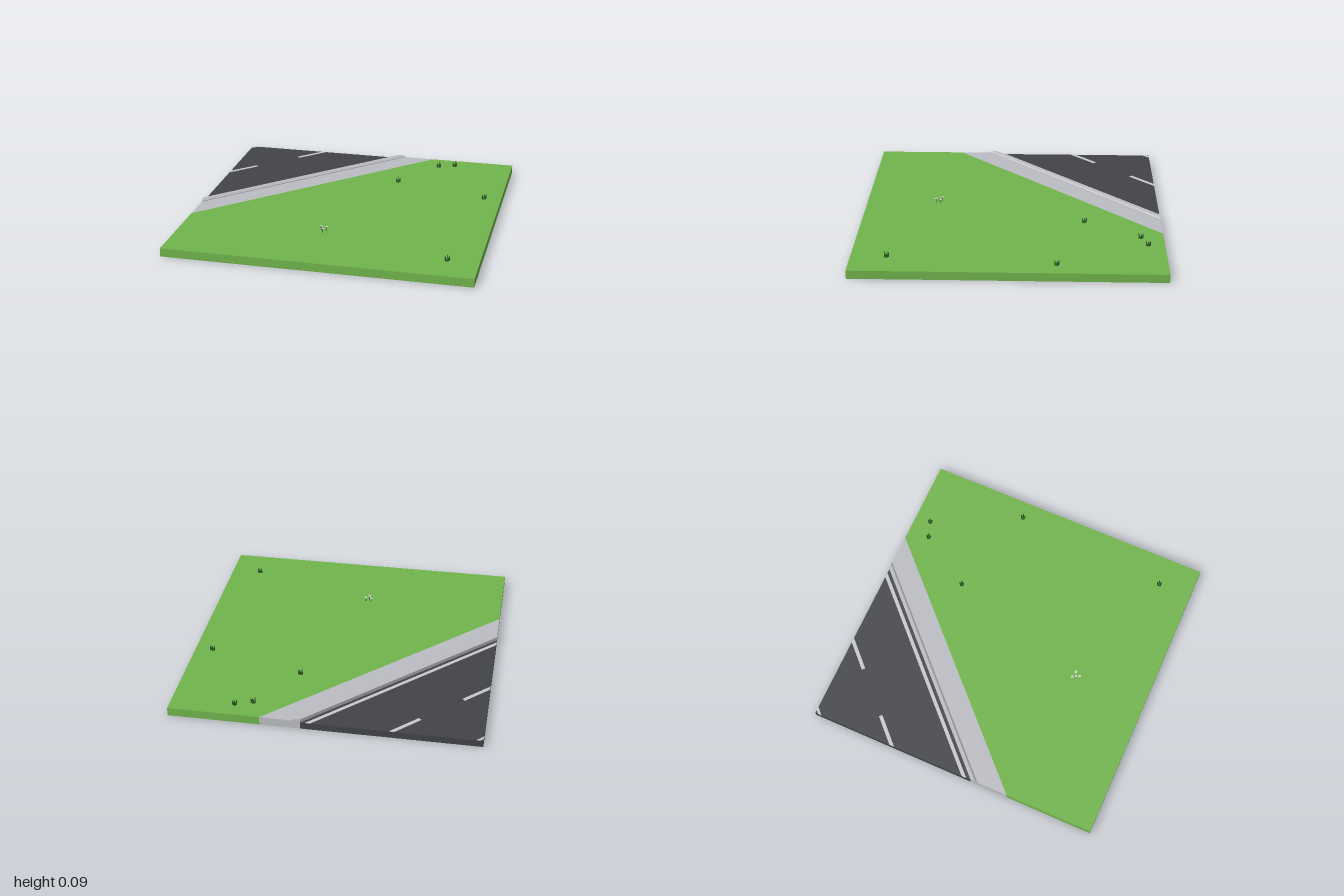
import * as THREE from 'three';

const GROUND = 0.056, ROAD = 0.046;

// Solid from a plan outline of [x, z] points, between heights y0 and y1
function prism(points, y0, y1) {
  const shape = new THREE.Shape(points.map(([x, z]) => new THREE.Vector2(x, -z)));
  const geo = new THREE.ExtrudeGeometry(shape, { depth: y1 - y0, bevelEnabled: false });
  return geo.rotateX(-Math.PI / 2).translate(0, y0, 0);
}

// Convex profile of [s, y] points (s = x + z, counterclockwise), run diagonally
// across the tile from its x = -1 edge to its z = -1 edge
function diagonal(profile) {
  const a = profile.map(([s, y]) => [-1, y, s + 1]);
  const b = profile.map(([s, y]) => [s + 1, y, -1]);
  const out = [], n = profile.length;
  for (let i = 0; i < n; i++) {
    const j = (i + 1) % n;
    out.push(...a[i], ...b[i], ...b[j], ...a[i], ...b[j], ...a[j]);
    if (i > 0 && i < n - 1) out.push(...a[0], ...a[i], ...a[j], ...b[0], ...b[j], ...b[i]);
  }
  const geo = new THREE.BufferGeometry();
  geo.setAttribute('position', new THREE.Float32BufferAttribute(out, 3));
  geo.computeVertexNormals();
  return geo;
}
const band = (s0, s1, y0, y1) => diagonal([[s0, y0], [s1, y0], [s1, y1], [s0, y1]]);

export function createModel() {
  const model = new THREE.Group();
  const material = (name, color, side = THREE.FrontSide) => {
    const m = new THREE.MeshStandardMaterial({ color, side });
    m.name = name;
    return m;
  };
  const grass = material('grass green', 0x70b44c);
  const asphalt = material('asphalt', 0x42424a);
  const concrete = material('concrete', 0xbbbdc2);
  const paint = material('road paint', 0xc6c8ca);
  const leaf = material('dark leaf', 0x2f5d27, THREE.DoubleSide);
  const petal = material('pale flower', 0xd0d2cf);
  const add = (name, geo, mat, parent = model) => {
    const mesh = new THREE.Mesh(geo, mat);
    mesh.name = name;
    parent.add(mesh);
    return mesh;
  };

  // Ground, pavement, road and kerb
  const edge = -0.595, kerbIn = -0.855;
  add('lawn', prism([[-1, edge + 1], [-1, 1], [1, 1], [1, -1], [edge + 1, -1]], 0, GROUND), grass);
  add('pavement', band(kerbIn, edge, 0, GROUND), concrete);
  add('road', band(-2, kerbIn, 0, ROAD), asphalt);
  add('kerb', diagonal([[kerbIn, ROAD], [-0.805, ROAD], [-0.805, 0.06], [-0.823, 0.07], [kerbIn, 0.07]]), concrete);

  // Road markings
  const top = ROAD + 0.002;
  add('edgeLine', band(-0.92, -0.886, ROAD, top), paint);
  add('farLine', band(-1.98, -1.955, ROAD, top), paint);
  const s0 = -1.449, s1 = -1.414, d = 0.25;
  const dash = [[s0 + 1, -1], [(s0 + d) / 2, (s0 - d) / 2], [(s1 + d) / 2, (s1 - d) / 2], [s1 + 1, -1]];
  add('laneDashBack', prism(dash, ROAD, top), paint);
  add('laneDashSide', prism(dash.map(([x, z]) => [z, x]), ROAD, top), paint);

  // Grass tufts: five pointed blades leaning outwards
  const blade = new THREE.ConeGeometry(0.008, 0.036, 4).translate(0, 0.018, 0);
  const spots = [[0.475, -0.85], [0.587, -0.89], [0.242, -0.487], [0.883, -0.302], [0.797, 0.77]];
  for (const [x, z] of spots) {
    const tuft = new THREE.Group();
    tuft.name = 'grassTuft';
    tuft.position.set(x, GROUND, z);
    for (let i = 0; i < 5; i++) {
      const turn = new THREE.Group();
      turn.rotation.y = (i / 5) * Math.PI * 2 + Math.PI / 2;
      const mesh = add('blade', blade, leaf, turn);
      mesh.position.x = 0.01;
      mesh.rotation.z = -0.2;
      mesh.scale.y = i % 2 ? 0.8 : 1;
      tuft.add(turn);
    }
    model.add(tuft);
  }

  // Flower cluster: thin stems with small flat heads
  const flowers = [[-0.08, 0.483, 0.01], [-0.04, 0.492, 0.01], [-0.057, 0.526, 0.01], [-0.066, 0.504, 0.008]];
  for (const [x, z, r] of flowers) {
    const flower = new THREE.Group();
    flower.name = 'flower';
    flower.position.set(x, GROUND, z);
    add('stem', new THREE.CylinderGeometry(0.002, 0.002, 0.026, 5).translate(0, 0.013, 0), leaf, flower);
    add('head', new THREE.CylinderGeometry(r, r * 0.6, 0.006, 8).translate(0, 0.028, 0), petal, flower);
    model.add(flower);
  }
  return model;
}
